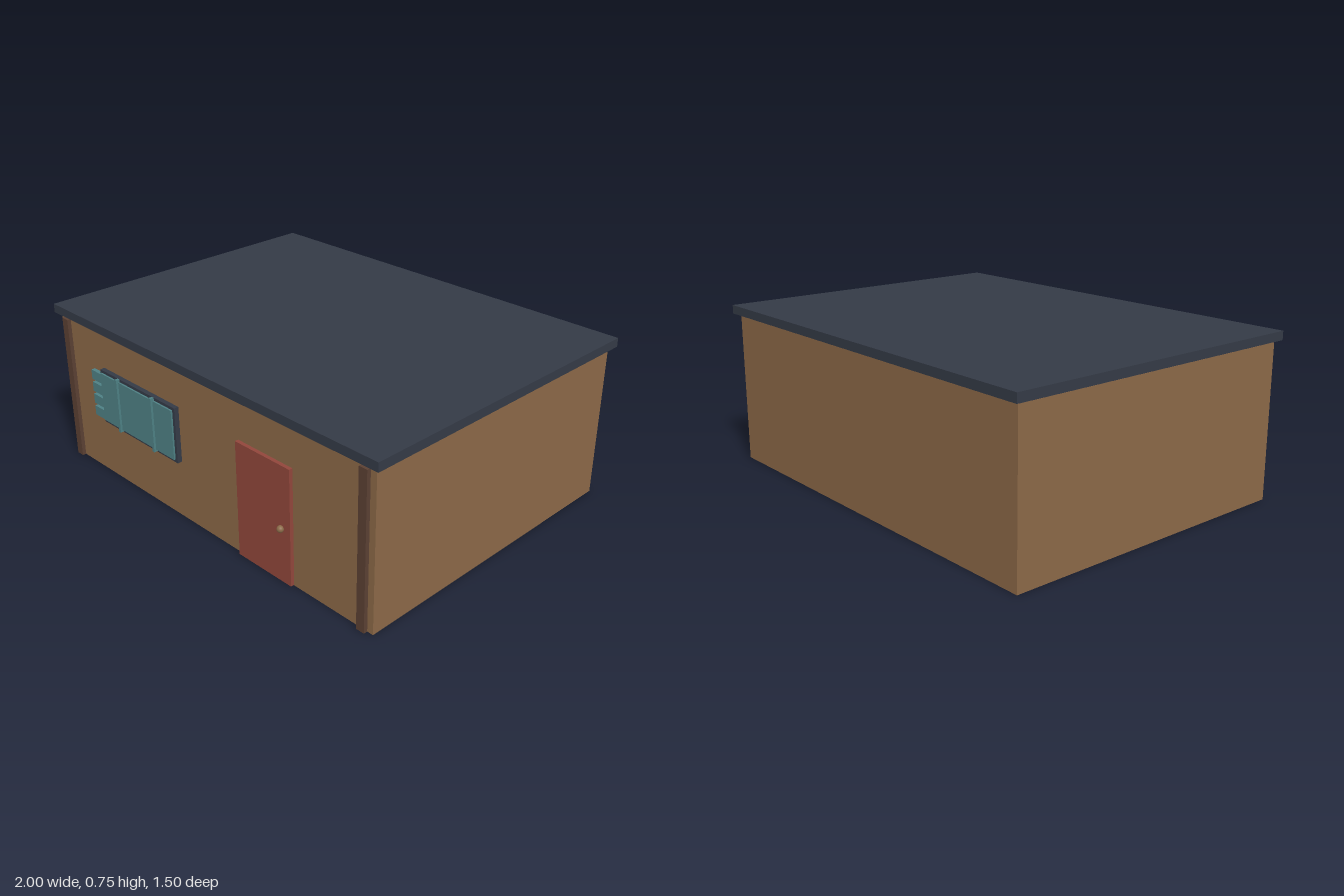
import * as THREE from 'three';

const material = (name, color) => {
  const m = new THREE.MeshStandardMaterial({ color });
  m.name = name;
  return m;
};

export function createModel() {
  const house = new THREE.Group();
  house.name = 'house';
  const wall = material('wall brown', 0x8b6847);
  const slate = material('roof slate', 0x343a46);
  const timber = material('dark timber', 0x5b4033);
  const red = material('door red', 0x91463b);
  const teal = material('glass teal', 0x4e8084);
  const brass = material('knob brass', 0x8a6a48);

  // Box given by its limits on each axis
  const box = (name, mat, [x0, x1], [y0, y1], [z0, z1], parent = house) => {
    const mesh = new THREE.Mesh(new THREE.BoxGeometry(x1 - x0, y1 - y0, z1 - z0), mat);
    mesh.position.set((x0 + x1) / 2, (y0 + y1) / 2, (z0 + z1) / 2);
    mesh.name = name;
    parent.add(mesh);
    return mesh;
  };

  // Walls and flat roof, with a narrow gap between them
  box('walls', wall, [-0.975, 0.975], [0, 0.7], [-0.72, 0.708]);
  box('roof', slate, [-1, 1], [0.71, 0.75], [-0.748, 0.73]);

  // Front corner posts
  for (const x of [-0.926, 0.926]) {
    box('cornerPost', timber, [x - 0.02, x + 0.02], [0, 0.697], [0.7, 0.726]);
  }

  // Door with round knob
  const door = new THREE.Group();
  door.name = 'door';
  house.add(door);
  box('doorPanel', red, [0.245, 0.553], [0.003, 0.531], [0.7, 0.725], door);
  const knob = new THREE.Mesh(new THREE.SphereGeometry(0.015, 16, 12), brass);
  knob.name = 'doorKnob';
  knob.position.set(0.505, 0.252, 0.732);
  door.add(knob);

  // Framed window with two mullions
  const windowGroup = new THREE.Group();
  windowGroup.name = 'window';
  house.add(windowGroup);
  box('windowFrame', slate, [-0.665, -0.133], [0.276, 0.535], [0.7, 0.73], windowGroup);
  box('windowGlass', teal, [-0.655, -0.147], [0.29, 0.522], [0.725, 0.738], windowGroup);
  for (const x of [-0.526, -0.279]) {
    box('mullion', teal, [x - 0.007, x + 0.007], [0.28, 0.535], [0.73, 0.748], windowGroup);
  }

  // Four louvre slats beside the window
  for (let i = 0; i < 4; i++) {
    const y = 0.304 + i * 0.06;
    box('louvreSlat', teal, [-0.744, -0.66], [y - 0.023, y + 0.023], [0.7, 0.727], windowGroup);
  }
  return house;
}
